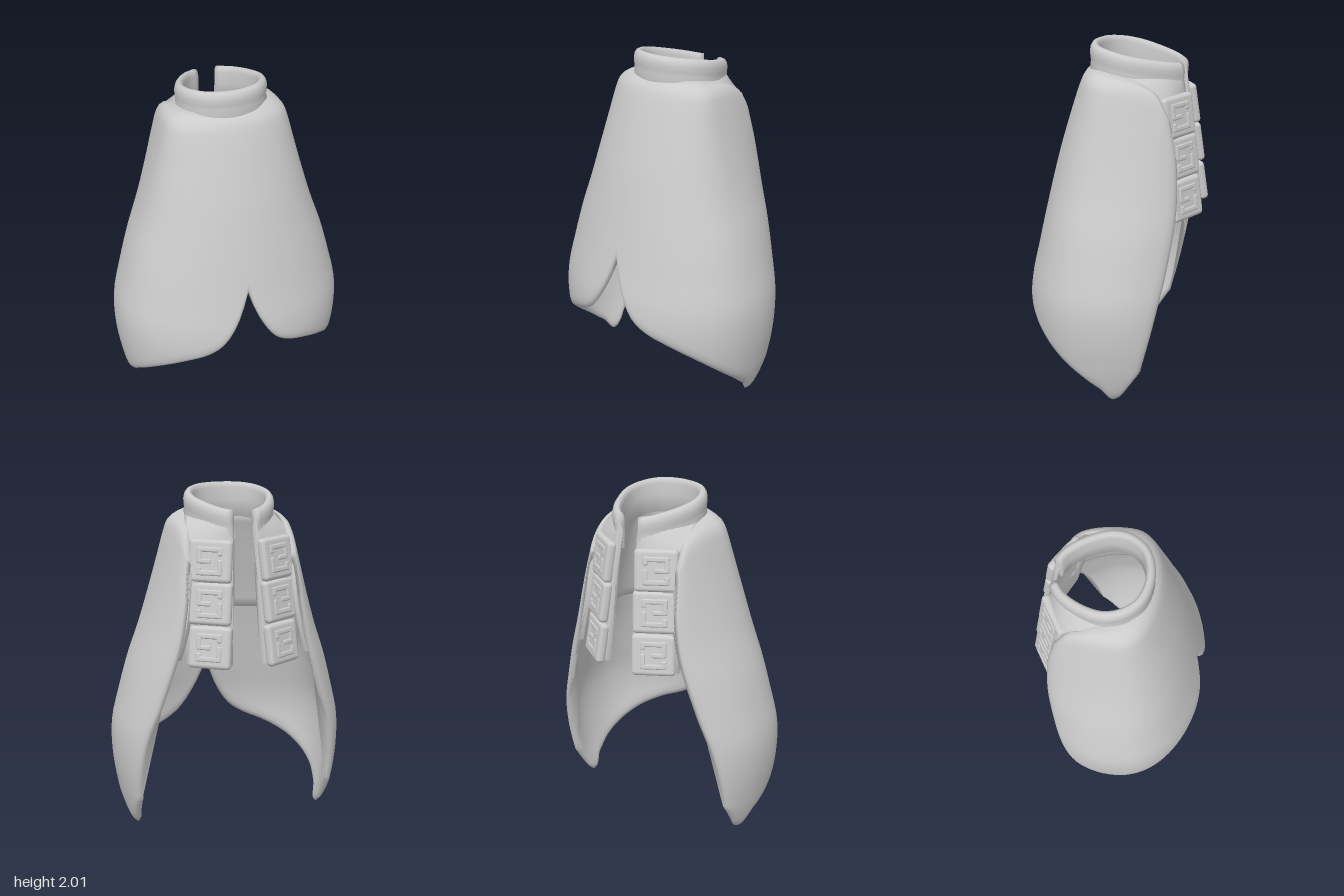
import * as THREE from 'three';
import { RoundedBoxGeometry } from 'three/addons/geometries/RoundedBoxGeometry.js';

// smooth curve through [key, value] pairs with rising keys
function curve(pts) {
  const slope = (i) => {
    const a = pts[Math.max(0, i - 1)], b = pts[Math.min(pts.length - 1, i + 1)];
    return (b[1] - a[1]) / (b[0] - a[0]);
  };
  return (k) => {
    k = Math.min(Math.max(k, pts[0][0]), pts[pts.length - 1][0]);
    let i = 0;
    while (i < pts.length - 2 && k > pts[i + 1][0]) i++;
    const [k0, p0] = pts[i], [k1, p1] = pts[i + 1], h = k1 - k0, t = (k - k0) / h;
    const t2 = t * t, t3 = t2 * t;
    return (2 * t3 - 3 * t2 + 1) * p0 + (t3 - 2 * t2 + t) * h * slope(i)
      + (3 * t2 - 2 * t3) * p1 + (t3 - t2) * h * slope(i + 1);
  };
}

// closed cross-sections (n points each) joined along m steps, capped at both ends
function loft(m, n, point) {
  const pos = [], idx = [];
  for (let i = 0; i <= m; i++) for (let j = 0; j < n; j++) pos.push(...point(i, j));
  for (let i = 0; i < m; i++) for (let j = 0; j < n; j++) {
    const k = (j + 1) % n, a = i * n + j, b = i * n + k, c = a + n, d = b + n;
    idx.push(a, b, c, b, d, c);
  }
  for (const i of [0, m]) {
    const centre = [0, 0, 0];
    for (let j = 0; j < n; j++) for (let q = 0; q < 3; q++) centre[q] += pos[(i * n + j) * 3 + q] / n;
    const id = pos.length / 3;
    pos.push(...centre);
    for (let j = 0; j < n; j++) {
      const a = i * n + j, b = i * n + (j + 1) % n;
      idx.push(...(i === 0 ? [b, a, id] : [a, b, id]));
    }
  }
  const g = new THREE.BufferGeometry();
  g.setAttribute('position', new THREE.Float32BufferAttribute(pos, 3));
  g.setIndex(idx);
  g.computeVertexNormals();
  return g;
}

// cape: half width, front depth, back depth and rear wrap by height
const halfWidth = curve([[0, 0.605], [0.1, 0.635], [0.2, 0.66], [0.4, 0.69], [0.6, 0.69], [0.8, 0.645], [1, 0.59],
  [1.2, 0.52], [1.4, 0.46], [1.6, 0.405], [1.75, 0.365], [1.82, 0.335], [1.87, 0.27]]);
const frontDepth = curve([[0, 0.45], [0.2, 0.5], [0.45, 0.53], [0.6, 0.52], [0.8, 0.478], [1, 0.435],
  [1.2, 0.39], [1.4, 0.34], [1.7, 0.25], [1.82, 0.205], [1.87, 0.17]]);
const backDepth = curve([[0, 0.5], [0.2, 0.56], [0.4, 0.57], [0.6, 0.57], [0.8, 0.575], [1.1, 0.585],
  [1.4, 0.595], [1.6, 0.6], [1.87, 0.56]]);
const rearWrap = curve([[0, 0.52], [0.2, 0.56], [0.4, 0.68], [0.6, 0.8], [0.8, 0.9], [1.1, 0.98], [1.4, 0.92],
  [1.6, 0.8], [1.87, 0.75]]);
// upper and lower borders by angle from the front
const topEdge = curve([[0, 1.87], [80, 1.868], [105, 1.845], [118, 1.81], [127, 1.76], [135, 1.62]]);
const hem = curve([[0, 0.84], [5, 0.68], [12.5, 0.53], [21, 0.455], [35, 0.395], [53, 0.31], [78, 0.16],
  [100, 0.005], [114, 0.015], [125, 0.1], [135, 0.2]]);
const END = 135;

// point on the cape at a signed angle and height, moved inwards by inset
function capePoint(deg, y, inset) {
  const A = Math.abs(deg);
  const th = Math.sign(deg) * (A < 90 ? A : 90 + (A - 90) * rearWrap(y)) * Math.PI / 180;
  const a = halfWidth(y), c = Math.cos(th);
  const depth = c > 0 ? frontDepth(y) : backDepth(y);
  const x = a * Math.sin(th);
  const z = depth * Math.sign(c) * Math.pow(Math.abs(c), c > 0 ? 0.85 : 1);
  const n = new THREE.Vector2(x / (a * a), z / (depth * depth)).normalize();
  return [x - n.x * inset, y, z - n.y * inset];
}

function capeGeometry() {
  const cols = 112, rows = 44, half = 0.027, rim = 0.08;
  return loft(cols, rows * 2, (i, j) => {
    const u = (i / cols) * 2 - 1;
    const deg = END * (0.75 * u + 0.25 * Math.sin(u * Math.PI / 2));
    const outer = j <= rows, q = (outer ? j : 2 * rows - j) / rows;
    const v = 0.4 * q + 0.6 * (0.5 - 0.5 * Math.cos(Math.PI * q));
    const A = Math.abs(deg), top = topEdge(A), span = top - hem(A);
    // rounded border: both faces meet halfway at the edge
    const e = Math.min((END - A) * 0.0085, v * span, (1 - v) * span, rim) / rim;
    const bulge = half * Math.sqrt(Math.max(0, 1 - (1 - e) ** 2));
    return capePoint(deg, top - v * span, outer ? half - bulge : half + bulge);
  });
}

// lining: inner layer below the collar, fading into the cape above the ends of the back plates
function liningGeometry() {
  const cols = 72, rows = 12;
  return loft(cols, rows * 2, (i, j) => {
    const deg = ((i / cols) * 2 - 1) * END, A = Math.abs(deg), outer = j < rows;
    const q = (outer ? j : 2 * rows - 1 - j) / (rows - 1);
    const top = topEdge(A) - 0.06, low = 1.2 - 0.13 * (A / END) ** 4;
    const inner = 0.06 + 0.035 * Math.abs(Math.sin(deg * Math.PI / 180)) * (1 - q);
    return capePoint(deg, top + (low - top) * q, outer ? 0.03 : inner);
  });
}

// collar: rolled band swept along an open ring
function collarGeometry() {
  const side = [[0.075, -0.375], [0.145, -0.32], [0.215, -0.21], [0.252, -0.08], [0.23, 0.03], [0.15, 0.125]];
  const pts = [...side.map(([x, z]) => [-x, z]), [0, 0.165], ...side.slice().reverse()];
  const path = new THREE.CatmullRomCurve3(pts.map(([x, z]) => new THREE.Vector3(x, 0, z)));
  const section = [[-0.022, 0.002], [-0.006, -0.004], [0.005, -0.02], [0.01, -0.045], [0.008, -0.075],
    [0.005, -0.1], [0.01, -0.14], [0, -0.2], [-0.04, -0.2], [-0.043, -0.1], [-0.042, -0.03], [-0.035, -0.005]];
  const steps = 48;
  return loft(steps, section.length, (i, j) => {
    const p = path.getPoint(i / steps), t = path.getTangent(i / steps), [o, h] = section[j];
    const y = 2 - 0.1 * Math.pow(Math.max(0, 0.165 - p.z) / 0.55, 1.3);
    return [p.x - t.z * o, y + h, p.z + t.x * o];
  });
}

// back yoke: one side of the back, from the collar down behind the plates
function yokeGeometry(s) {
  const rows = [ // y, outer x, outer z, inner x, inner z, bow
    [1.85, 0.265, -0.06, 0.07, -0.37, 0.04], [1.77, 0.315, -0.22, 0.07, -0.385, 0.025],
    [1.6, 0.325, -0.31, 0.075, -0.41, 0.015], [1.3, 0.335, -0.34, 0.085, -0.445, 0],
    [1.04, 0.34, -0.35, 0.1, -0.465, 0]];
  const n = rows.length, steps = 10;
  return loft(steps, n * 2, (i, j) => {
    const t = s > 0 ? i / steps : 1 - i / steps, outer = j < n;
    const [y, ox, oz, ix, iz, bow] = rows[outer ? j : 2 * n - 1 - j];
    const b = bow * Math.sin(Math.PI * t) - (outer ? 0 : 0.035);
    return [s * (ox + (ix - ox) * t + b * 0.53), y, oz + (iz - oz) * t - b * 0.85];
  });
}

// back plate with a raised angular key pattern
function backPlate(material, s) {
  const plate = new THREE.Group();
  const add = (name, w, h, d, x, y, z, r) => {
    const m = new THREE.Mesh(new RoundedBoxGeometry(w, h, d, 2, r), material);
    m.name = name;
    m.position.set(s * x, y, z);
    plate.add(m);
  };
  add('plateBody', 0.25, 0.24, 0.055, 0, 0, 0, 0.024);
  const bars = [ // width, height, x, y
    [0.15, 0.03, 0, 0.065], [0.15, 0.03, 0, -0.065], [0.03, 0.09, -0.06, 0.035], [0.03, 0.09, 0.06, -0.035],
    [0.08, 0.028, -0.03, 0], [0.03, 0.05, 0.06, 0.055], [0.03, 0.05, -0.06, -0.055]];
  for (const [w, h, x, y] of bars) add('keyRelief', w, h, 0.02, x, y, 0.024, 0.009);
  return plate;
}

export function createModel() {
  const group = new THREE.Group();
  group.name = 'cape';
  const cloth = new THREE.MeshStandardMaterial({ color: 0xcccccc });
  cloth.name = 'light grey';
  const part = (name, geometry) => {
    const m = new THREE.Mesh(geometry, cloth);
    m.name = name;
    group.add(m);
  };
  part('capeShell', capeGeometry());
  part('lining', liningGeometry());
  part('collar', collarGeometry());

  // three overlapping plates on each side of the back
  const plates = [[0.19, 1.625, -0.36], [0.2, 1.39, -0.39], [0.21, 1.145, -0.415]];
  for (const s of [1, -1]) {
    const side = s > 0 ? 'left' : 'right';
    part(side + 'Yoke', yokeGeometry(s));
    plates.forEach(([x, y, z], i) => {
      const p = backPlate(cloth, s);
      p.name = side + 'BackPlate' + (i + 1);
      p.position.set(s * x, y, z);
      p.rotation.set(-0.16, s * (Math.PI - 0.56), 0, 'YXZ');
      group.add(p);
    });
  }
  return group;
}
